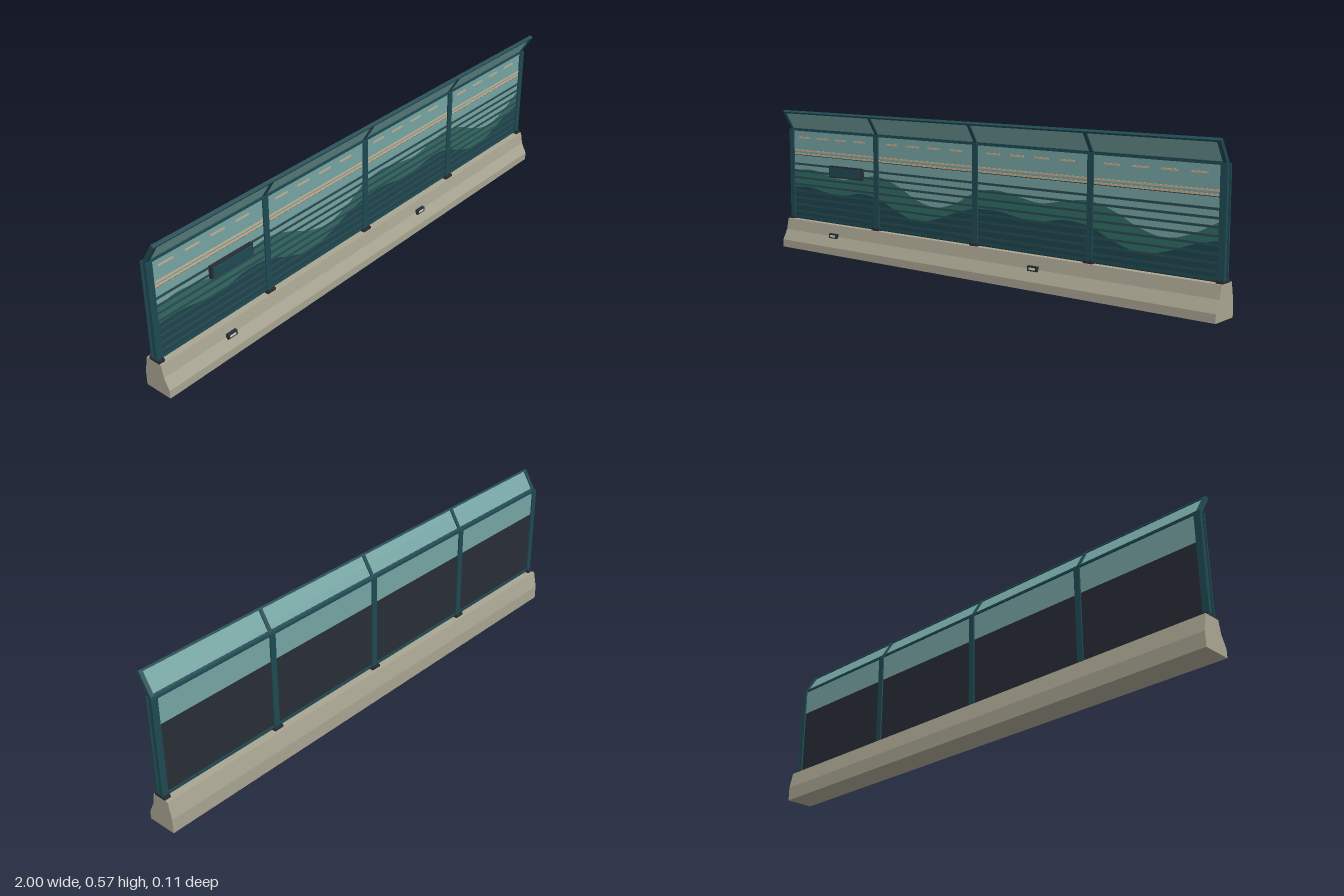
import * as THREE from 'three';

const mat = (name, color, side = THREE.FrontSide) => {
  const m = new THREE.MeshStandardMaterial({ color, side });
  m.name = name;
  return m;
};

export function createModel() {
  const M = {
    concrete: mat('concrete', 0xa9a592),
    steel: mat('dark teal steel', 0x1f4a52),
    slate: mat('dark slate', 0x282e36),
    glass: mat('pale teal panel', 0x76a5a3),
    green: mat('hill green', 0x2f6b62),
    deep: mat('deep hill teal', 0x1b444d),
    tan: mat('tan stripe', 0xc9ab8b),
    pale: mat('pale plate', 0xd6d2bf),
    rib: mat('rib grey teal', 0x2b4a50),
  };
  const root = new THREE.Group();
  root.name = 'noiseBarrier';

  const box = (name, m, w, h, d, x, y, z, parent = root) => {
    const mesh = new THREE.Mesh(new THREE.BoxGeometry(w, h, d), m);
    mesh.name = name;
    mesh.position.set(x, y, z);
    parent.add(mesh);
    return mesh;
  };

  // Concrete footing: a side profile swept along x
  const profile = [[0.055, 0], [0.055, 0.03], [0.034, 0.071], [0.025, 0.116],
    [-0.041, 0.116], [-0.054, 0.053], [-0.054, 0]];
  const footShape = new THREE.Shape(profile.map(([z, y]) => new THREE.Vector2(-z, y)));
  const footGeo = new THREE.ExtrudeGeometry(footShape, { depth: 2, bevelEnabled: false });
  footGeo.translate(0, 0, -1).rotateY(Math.PI / 2);
  const foot = new THREE.Mesh(footGeo, M.concrete);
  foot.name = 'concreteFooting';
  root.add(foot);

  // Wall: dark absorbing panel below, pale panel above
  box('lowerPanel', M.slate, 1.97, 0.264, 0.012, 0, 0.248, -0.006);
  box('upperPanel', M.glass, 1.97, 0.106, 0.01, 0, 0.433, -0.006);
  box('bottomRail', M.steel, 1.97, 0.01, 0.02, 0, 0.125, -0.006);
  box('topRail', M.steel, 1.97, 0.008, 0.02, 0, 0.484, -0.006);
  box('sillRail', M.slate, 1.97, 0.004, 0.013, 0, 0.38, -0.0065);

  // Painted landscape: pale sky, green hills, deep foreground hills
  box('paintedSky', M.glass, 1.97, 0.25, 0.001, 0, 0.255, 0.0005);
  const hills = (name, m, heights, z) => {
    const pts = [];
    for (let i = -10; i <= 10; i++) {
      pts.push(new THREE.Vector2(i * 0.0985, heights[(i + 10) % 10]));
    }
    const shape = new THREE.Shape();
    shape.moveTo(-0.985, 0.13);
    shape.lineTo(pts[0].x, pts[0].y);
    shape.splineThru(pts.slice(1));
    shape.lineTo(0.985, 0.13);
    const mesh = new THREE.Mesh(new THREE.ShapeGeometry(shape, 6), m);
    mesh.name = name;
    mesh.position.z = z;
    root.add(mesh);
  };
  hills('greenHills', M.green,
    [0.31, 0.325, 0.31, 0.298, 0.315, 0.325, 0.3, 0.255, 0.235, 0.26], 0.0016);
  hills('deepHills', M.deep,
    [0.248, 0.252, 0.238, 0.235, 0.25, 0.24, 0.2, 0.174, 0.19, 0.225], 0.0024);

  // Horizontal ribs across the landscape
  for (let i = 0; i < 8; i++) {
    box('rib', M.rib, 1.97, 0.008, 0.004, 0, 0.148 + i * 0.028, 0.002);
  }

  // Tan double stripe and dashes
  for (const y of [0.386, 0.4]) box('stripe', M.tan, 1.97, 0.006, 0.003, 0, y, 0.001);
  for (let bay = 0; bay < 4; bay++) {
    for (let i = 0; i < 4; i++) {
      box('dash', M.tan, 0.06, 0.006, 0.003, -0.92 + bay * 0.5 + i * 0.107, 0.453, 0);
    }
  }

  // Leaning canopy
  const canopy = new THREE.Group();
  canopy.name = 'canopy';
  canopy.position.set(0, 0.488, -0.004);
  canopy.rotation.x = 0.55;
  root.add(canopy);
  box('canopyPanel', M.glass, 1.97, 0.08, 0.006, 0, 0.042, 0, canopy);
  box('canopyTopRail', M.steel, 1.99, 0.007, 0.013, 0, 0.083, 0, canopy);
  box('canopyBottomRail', M.steel, 1.99, 0.007, 0.012, 0, 0.002, 0, canopy);

  // H-section posts with base plates, bolts and canopy arms
  for (const x of [-0.988, -0.5, 0, 0.5, 0.988]) {
    const post = new THREE.Group();
    post.name = 'post';
    post.position.x = x;
    root.add(post);
    box('frontFlange', M.steel, 0.024, 0.368, 0.005, 0, 0.303, 0.0065, post);
    box('backFlange', M.steel, 0.024, 0.368, 0.005, 0, 0.303, -0.0165, post);
    box('web', M.steel, 0.012, 0.368, 0.02, 0, 0.303, -0.005, post);
    const end = Math.abs(x) > 0.9;
    box('basePlate', M.slate, end ? 0.024 : 0.038, 0.009, 0.046, 0, 0.1205, -0.005, post);
    for (const z of [0.013, -0.023]) {
      for (const s of [-1, 1]) {
        box('bolt', M.slate, 0.006, 0.004, 0.006, s * (end ? 0.008 : 0.013), 0.127, z, post);
      }
    }
    box('canopyArm', M.steel, 0.014, 0.087, 0.014, x, 0.0425, 0, canopy);
  }

  // Blank sign board
  box('signBacking', M.slate, 0.184, 0.046, 0.014, -0.665, 0.328, 0.009);
  box('signFace', M.steel, 0.172, 0.036, 0.004, -0.665, 0.328, 0.0175);

  // Small marker boxes on the footing
  for (const x of [-0.712, 0.288]) {
    box('markerHousing', M.slate, 0.042, 0.018, 0.012, x, 0.074, 0.038);
    box('markerFace', M.pale, 0.026, 0.008, 0.002, x, 0.074, 0.0445);
  }
  return root;
}
